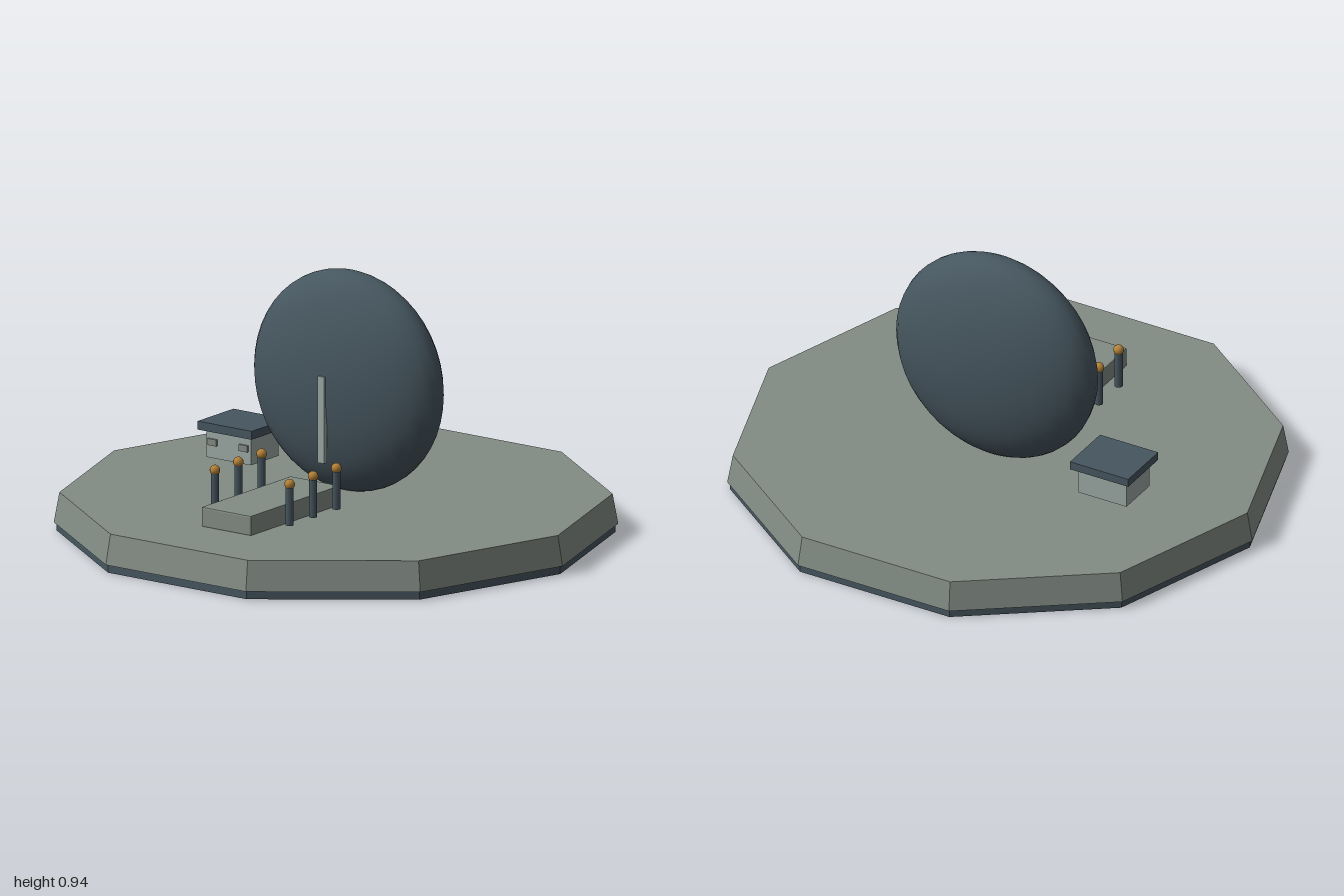
import * as THREE from 'three';
import { RoundedBoxGeometry } from 'three/addons/geometries/RoundedBoxGeometry.js';

const material = (name, color, flatShading = false) => {
  const m = new THREE.MeshStandardMaterial({ color, flatShading });
  m.name = name;
  return m;
};

export function createModel() {
  const stone = material('grey stone', 0x838c85, true);
  const slate = material('dark slate', 0x46565f);
  const pale = material('pale panel', 0x9ba8a4);
  const amber = material('amber lamp', 0xb58238);

  const model = new THREE.Group();
  model.name = 'domeStation';

  const add = (name, geometry, mat, x, y, z, parent = model) => {
    const mesh = new THREE.Mesh(geometry, mat);
    mesh.name = name;
    mesh.position.set(x, y, z);
    parent.add(mesh);
    return mesh;
  };
  // Box given by its centre in x and z and its lower and upper height
  const box = (name, mat, w, d, y0, y1, x, z, parent) =>
    add(name, new THREE.BoxGeometry(w, y1 - y0, d), mat, x, (y0 + y1) / 2, z, parent);

  // Ten-sided base: a thin dark footing below a tapered deck
  const tenSided = (top, bottom, height) =>
    new THREE.CylinderGeometry(top, bottom, height, 10).rotateY(Math.PI / 10).toNonIndexed();
  const footing = tenSided(0.99, 0.99, 0.03);
  footing.computeVertexNormals();
  add('footing', footing, slate, 0, 0.015, 0);
  add('deck', tenSided(0.98, 1, 0.11), stone, 0, 0.085, 0);

  // Flattened upright shell with a slim panel on its front
  const shell = add('shell', new THREE.SphereGeometry(0.403, 32, 24), slate, 0, 0.538, -0.077);
  shell.scale.z = 0.4;
  box('frontPanel', pale, 0.03, 0.016, 0.268, 0.585, 0, 0.082);

  // Raised walkway
  add('walkway', new RoundedBoxGeometry(0.22, 0.075, 0.53, 1, 0.006), stone, 0, 0.174, 0.388);

  // Lamp posts along both sides of the walkway
  const postGeometry = new THREE.CylinderGeometry(0.015, 0.015, 0.14, 10);
  const lampGeometry = new THREE.SphereGeometry(0.019, 12, 8);
  for (const side of [-1, 1]) {
    for (const z of [0.22, 0.358, 0.497]) {
      const lampPost = new THREE.Group();
      lampPost.name = 'lampPost';
      lampPost.position.set(side * 0.165, 0, z);
      add('post', postGeometry, slate, 0, 0.225, 0, lampPost);
      add('lamp', lampGeometry, amber, 0, 0.304, 0, lampPost);
      model.add(lampPost);
    }
  }

  // Small hut with an overhanging flat roof and two front windows
  const hut = new THREE.Group();
  hut.name = 'hut';
  hut.position.set(-0.511, 0, -0.132);
  model.add(hut);
  box('hutBody', pale, 0.196, 0.165, 0.165, 0.27, 0, 0, hut);
  box('hutRoof', slate, 0.238, 0.212, 0.267, 0.298, 0, 0, hut);
  for (const side of [-1, 1]) {
    box('hutWindow', stone, 0.038, 0.009, 0.212, 0.236, side * 0.069, 0.086, hut);
  }

  return model;
}
